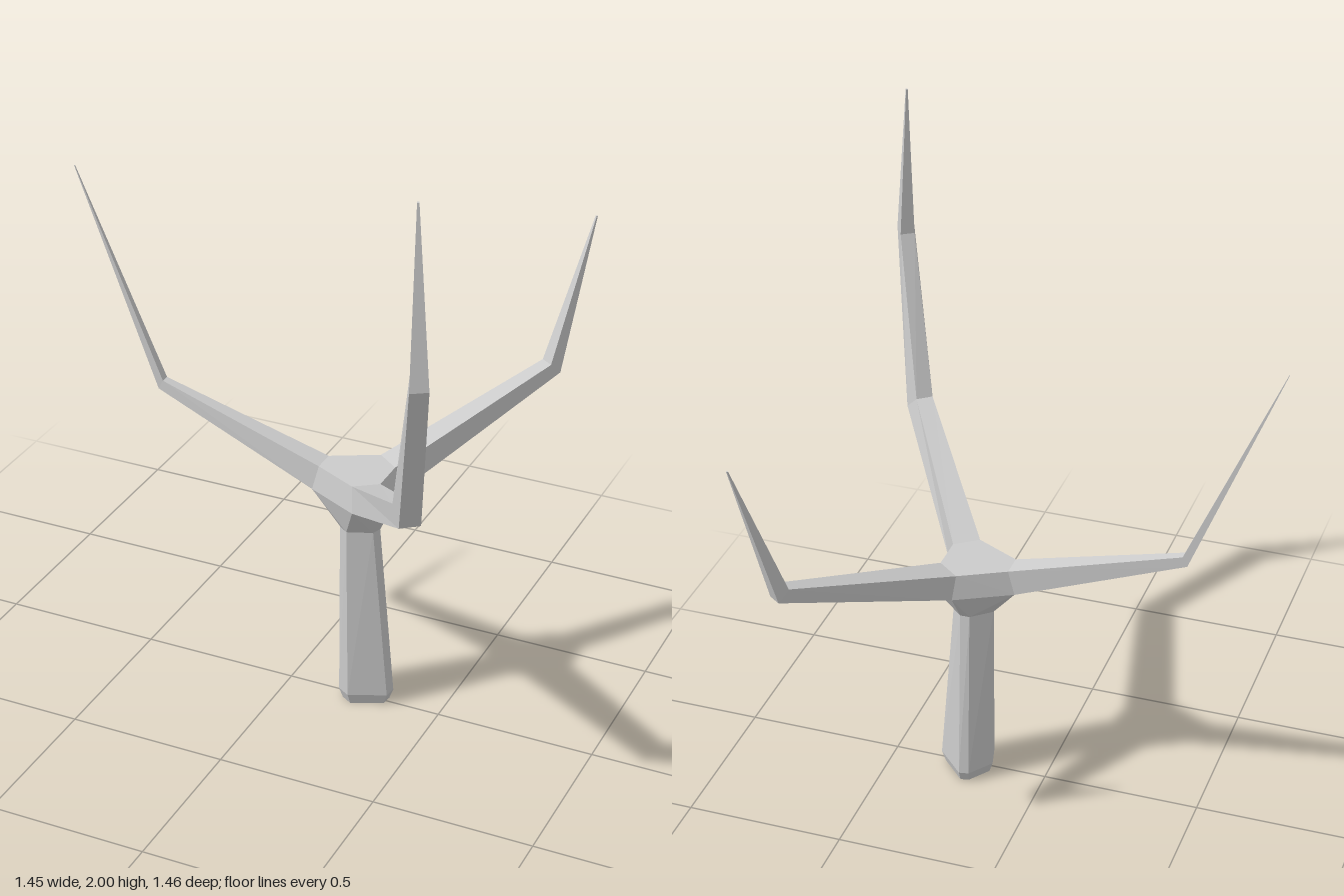
import * as THREE from 'three';
import { ConvexGeometry } from 'three/addons/geometries/ConvexGeometry.js';

const material = new THREE.MeshStandardMaterial({ color: 0xcccccc, flatShading: true });

// Skins a series of equal-count rings (counter-clockwise seen from the far end) and caps both ends.
function loft(rings) {
  const n = rings[0].length;
  const pos = [];
  const tri = (a, b, c) => pos.push(...a, ...b, ...c);
  for (let r = 0; r < rings.length - 1; r++) {
    for (let i = 0; i < n; i++) {
      const j = (i + 1) % n;
      const lo = rings[r], hi = rings[r + 1];
      tri(lo[i], lo[j], hi[j]);
      tri(lo[i], hi[j], hi[i]);
    }
  }
  const first = rings[0], last = rings[rings.length - 1];
  for (let i = 1; i < n - 1; i++) {
    tri(first[0], first[i + 1], first[i]);
    tri(last[0], last[i], last[i + 1]);
  }
  const g = new THREE.BufferGeometry();
  g.setAttribute('position', new THREE.Float32BufferAttribute(pos, 3));
  g.computeVertexNormals();
  return g;
}

// Small end ring around a tip point, shaped like the ring below it.
function tipRing(ring, tip, scale) {
  const c = [0, 1, 2].map(k => ring.reduce((s, p) => s + p[k], 0) / ring.length);
  return ring.map(p => [tip[0] + (p[0] - c[0]) * scale, tip[1], tip[2] + (p[2] - c[2]) * scale]);
}

// Each branch: rings of outer-left, outer-right, inner-right, inner-left, then a tip.
const branches = [
  {
    name: 'rightBranch', tip: [-0.728, 1.6, -0.025],
    rings: [
      [[0.08, 0.71, -0.052], [0.08, 0.71, 0.025], [0.10, 0.79, 0.02], [0.10, 0.79, -0.052]],
      [[-0.455, 0.915, -0.04], [-0.455, 0.915, -0.012], [-0.44, 0.945, -0.012], [-0.44, 0.945, -0.04]],
    ],
  },
  {
    name: 'frontBranch', tip: [0.655, 2.0, 0.637],
    rings: [
      [[0.25, 0.71, 0.11], [0.33, 0.71, 0.06], [0.31, 0.79, 0.04], [0.24, 0.79, 0.09]],
      [[0.58, 0.97, 0.54], [0.63, 0.97, 0.5], [0.585, 1.02, 0.467], [0.543, 1.02, 0.5]],
      [[0.68, 1.5, 0.73], [0.725, 1.5, 0.7], [0.685, 1.51, 0.625], [0.648, 1.51, 0.65]],
    ],
  },
  {
    name: 'backBranch', tip: [0.68, 1.42, -0.727],
    rings: [
      [[0.33, 0.71, -0.09], [0.25, 0.71, -0.14], [0.24, 0.79, -0.125], [0.31, 0.79, -0.07]],
      [[0.633, 0.935, -0.6], [0.597, 0.935, -0.625], [0.575, 0.97, -0.597], [0.612, 0.97, -0.57]],
    ],
  },
];

// Trunk outlines as [x, z], foot and neck.
const foot = [[0.225, 0.07], [0.335, 0.02], [0.34, -0.02], [0.25, -0.11], [0.22, -0.105], [0.165, -0.03], [0.185, 0.045]];
const neck = [[0.21, 0.06], [0.285, 0.03], [0.295, 0], [0.25, -0.07], [0.22, -0.07], [0.16, -0.02], [0.178, 0.035]];

export function createModel() {
  const group = new THREE.Group();
  const add = (name, geometry) => {
    const mesh = new THREE.Mesh(geometry, material);
    mesh.name = name;
    group.add(mesh);
  };

  // Trunk with a bevelled foot
  const at = (outline, y) => outline.map(([x, z]) => [x, y, z]);
  const sole = foot.map(([x, z]) => [0.25 + (x - 0.25) * 0.86, -0.015 + (z + 0.015) * 0.86]);
  const neckRing = at(neck, 0.61);
  add('trunk', loft([at(sole, 0), at(foot, 0.035), neckRing]));

  // Faceted hub joining the trunk and the branches
  const corners = [...neckRing, ...branches.flatMap(b => b.rings[0])];
  add('hub', new ConvexGeometry(corners.map(p => new THREE.Vector3(...p))));

  // Bent, tapering branches
  for (const { name, rings, tip } of branches) {
    add(name, loft([...rings, tipRing(rings[rings.length - 1], tip, 0.12)]));
  }
  return group;
}
